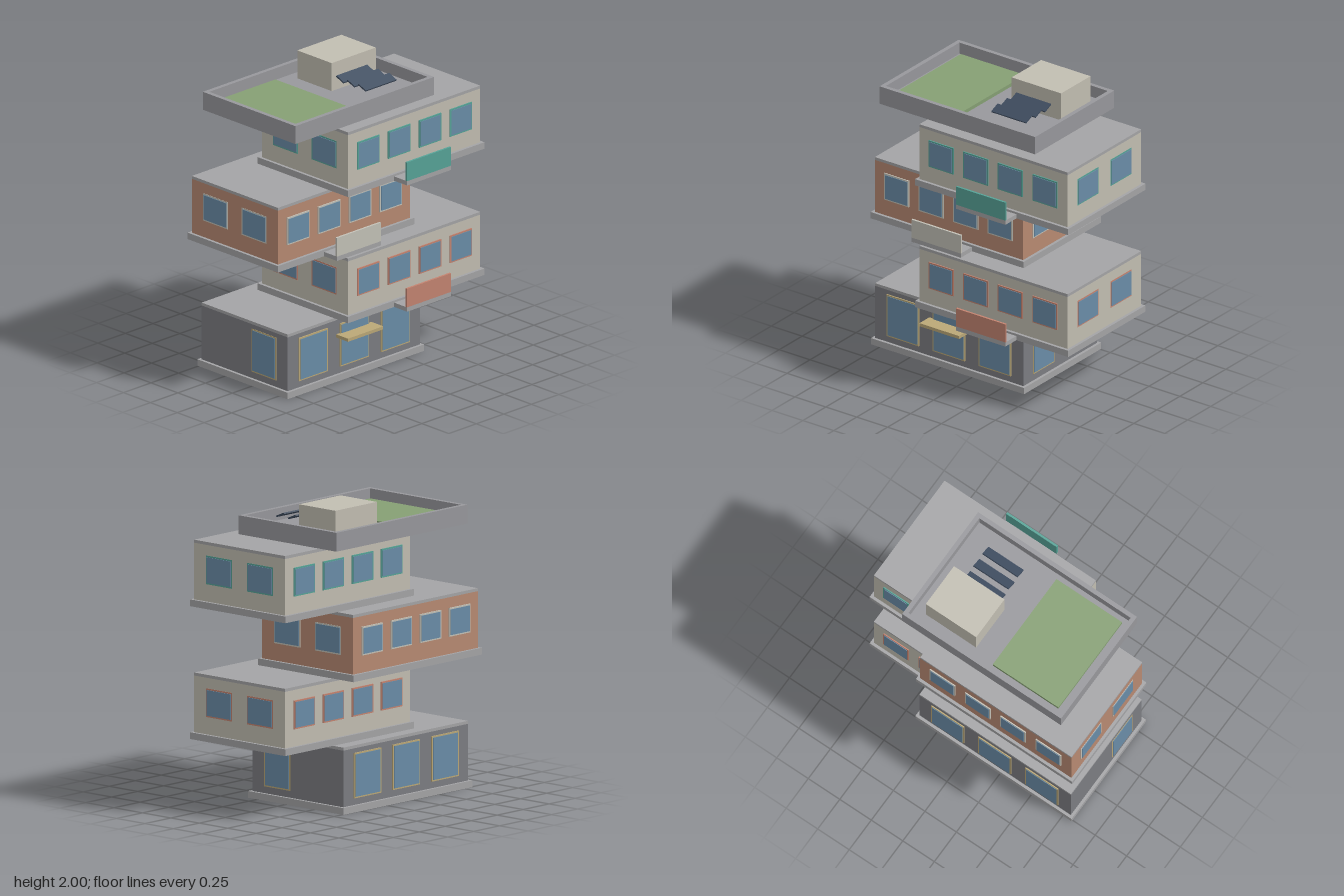
import * as THREE from 'three';

const mat = (color) => new THREE.MeshStandardMaterial({ color, flatShading: true });
const M = {
  slab: mat(0xa4a4a6), plaster: mat(0xc2beb2), brick: mat(0xb88a72), dark: mat(0x7c7d82),
  glass: mat(0x6a8da8), brass: mat(0xbba877), coral: mat(0xc48471), pale: mat(0xc4c2b8),
  teal: mat(0x57a397), roof: mat(0x98989c), lawn: mat(0x86a074), solar: mat(0x3f4d60),
};

// Box given by its limits on each axis
function box(parent, name, material, [x0, x1], [y0, y1], [z0, z1]) {
  const mesh = new THREE.Mesh(new THREE.BoxGeometry(x1 - x0, y1 - y0, z1 - z0), material);
  mesh.position.set((x0 + x1) / 2, (y0 + y1) / 2, (z0 + z1) / 2);
  mesh.name = name;
  parent.add(mesh);
  return mesh;
}

// Window facing +z about its own origin: frame with a slightly proud pane
function makeWindow(w, h, frameMat, proud) {
  const g = new THREE.Group();
  g.name = 'window';
  box(g, 'windowFrame', frameMat, [-w / 2, w / 2], [-h / 2, h / 2], [-0.01, proud]);
  const a = w / 2 - 0.01, b = h / 2 - 0.01;
  box(g, 'windowPane', M.glass, [-a, a], [-b, b], [-0.01, proud + 0.004]);
  return g;
}

const W = 0.6, D = 0.4; // half width and half depth of each storey's walls

function makeStorey(o) {
  const g = new THREE.Group();
  g.name = o.name;
  g.position.set(o.x, o.y, o.z);
  box(g, 'floorSlab', M.slab, [-W - 0.02, W + 0.02], [0, 0.045], [-D - 0.02, D + 0.02]);
  box(g, 'walls', o.wall, [-W, W], [0.045, 0.42], [-D, D]);
  box(g, 'ceilingSlab', M.slab, [-W, W], [0.42, 0.44], [-D, D]);

  // Front and back rows of windows
  for (const side of [1, -1]) {
    for (const x of o.windowXs) {
      const win = makeWindow(o.winW, o.winH, o.trim, 0.008);
      win.position.set(x, o.winY, side * D);
      if (side < 0) win.rotation.y = Math.PI;
      g.add(win);
    }
    // End windows, nearly flush with the wall
    for (const z of o.endZs) {
      const win = makeWindow(0.23, o.winH, o.trim, 0.002);
      win.position.set(side * W, o.winY, z);
      win.rotation.y = side * Math.PI / 2;
      g.add(win);
    }
  }
  return g;
}

function addBalcony(storey, x, material) {
  const xs = [x - 0.2, x + 0.2];
  box(storey, 'balconyFloor', M.slab, xs, [0, 0.03], [D + 0.02, D + 0.14]);
  box(storey, 'balconyFront', material, xs, [0.03, 0.16], [D + 0.125, D + 0.14]);
}

function makeRoof() {
  const g = new THREE.Group();
  g.name = 'roof';
  // Parapet ring
  const rect = (P, x, y) => {
    const p = new P();
    p.moveTo(-x, -y); p.lineTo(x, -y); p.lineTo(x, y); p.lineTo(-x, y); p.closePath();
    return p;
  };
  const ring = rect(THREE.Shape, 0.63, 0.43);
  ring.holes.push(rect(THREE.Path, 0.6, 0.4));
  const geo = new THREE.ExtrudeGeometry(ring, { depth: 0.125, bevelEnabled: false });
  geo.rotateX(-Math.PI / 2);
  const parapet = new THREE.Mesh(geo, M.roof);
  parapet.name = 'parapet';
  parapet.position.set(-0.12, 1.76, -0.1);
  g.add(parapet);

  box(g, 'roofDeck', M.roof, [-0.72, 0.48], [1.76, 1.805], [-0.5, 0.3]);
  box(g, 'roofLawn', M.lawn, [-0.68, -0.16], [1.805, 1.83], [-0.46, 0.26]);
  box(g, 'stairHouse', M.plaster, [0, 0.4], [1.805, 2], [-0.42, -0.1]);
  for (const z of [-0.065, 0.037, 0.14]) {
    const panel = box(g, 'solarPanel', M.solar, [0.04, 0.32], [1.88, 1.89], [z - 0.037, z + 0.037]);
    panel.rotation.x = 0.4;
  }
  return g;
}

export function createModel() {
  const model = new THREE.Group();
  model.name = 'stackedBuilding';

  // Ground floor with awning
  const ground = makeStorey({
    name: 'groundFloor', x: -0.2, y: 0, z: -0.09, wall: M.dark, trim: M.brass,
    windowXs: [-0.373, 0, 0.373], winW: 0.26, winH: 0.3, winY: 0.24, endZs: [0.18],
  });
  box(ground, 'awning', M.brass, [-0.16, 0.16], [0.3, 0.322], [D, D + 0.11]);
  model.add(ground);

  // Three shifted upper storeys
  const upper = { windowXs: [-0.42, -0.14, 0.14, 0.42], winW: 0.2, winH: 0.19, winY: 0.255, endZs: [-0.18, 0.18] };
  const storeys = [
    { name: 'secondFloor', x: 0.24, y: 0.44, z: 0.02, wall: M.plaster, trim: M.coral },
    { name: 'thirdFloor', x: -0.24, y: 0.88, z: -0.14, wall: M.brick, trim: M.pale },
    { name: 'fourthFloor', x: 0.24, y: 1.32, z: 0.02, wall: M.plaster, trim: M.teal },
  ];
  for (const s of storeys) {
    const storey = makeStorey({ ...upper, ...s });
    addBalcony(storey, 0, s.trim);
    model.add(storey);
  }

  model.add(makeRoof());
  return model;
}
